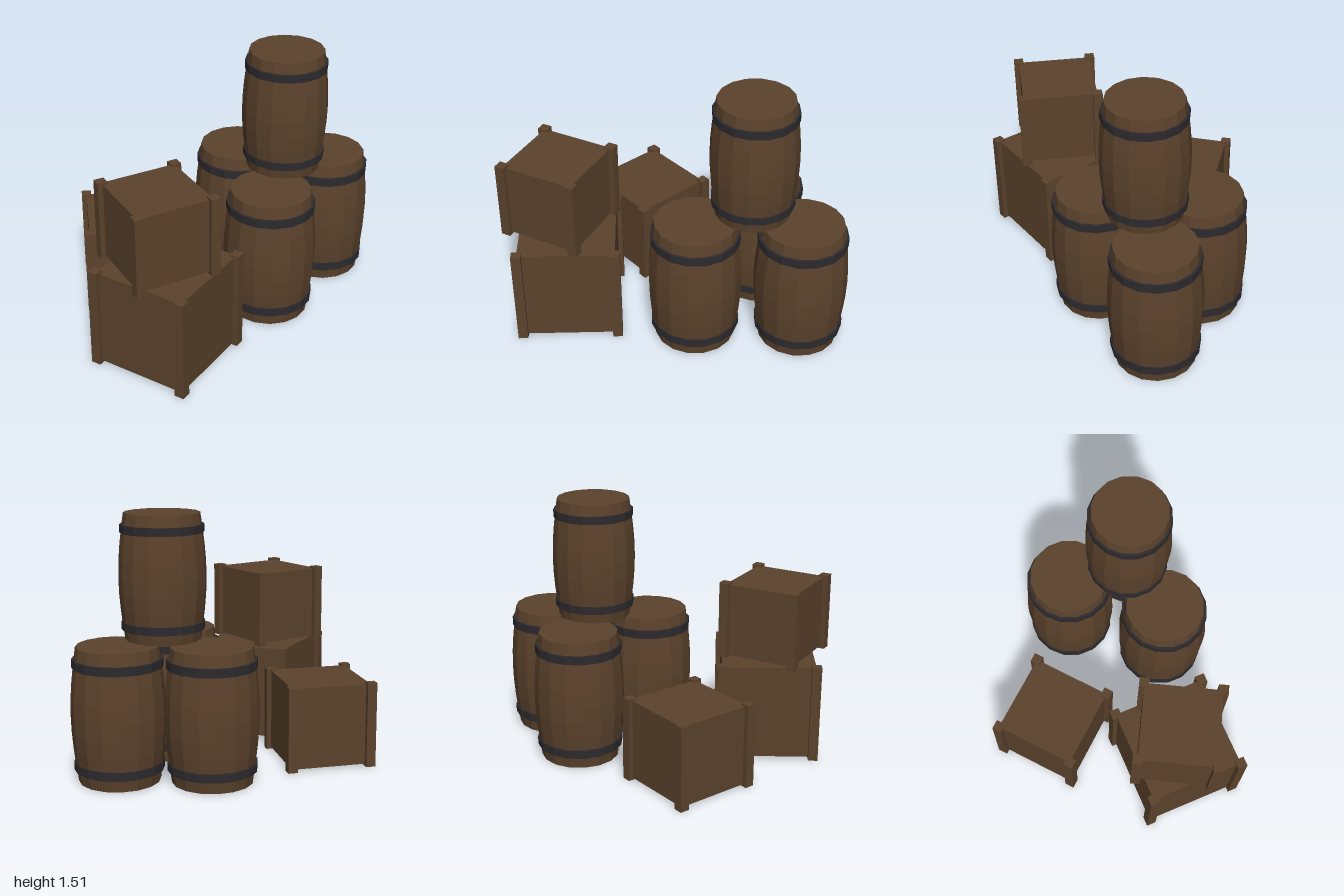
import * as THREE from 'three';

const SIDES = 16;

export function createModel() {
  const wood = new THREE.MeshStandardMaterial({ name: 'brown wood', color: 0x5b422c, flatShading: true });
  const iron = new THREE.MeshStandardMaterial({ name: 'dark iron', color: 0x2c2a2d, flatShading: true });
  const group = new THREE.Group();
  group.name = 'barrelsAndCrates';

  const add = (parent, name, geometry, material, x = 0, y = 0, z = 0) => {
    const mesh = new THREE.Mesh(geometry, material);
    mesh.name = name;
    mesh.position.set(x, y, z);
    parent.add(mesh);
    return mesh;
  };

  // Barrel: bulging staves closed by flat lids
  const height = 0.785;
  const profile = [new THREE.Vector2(0, 0)];
  for (let i = 0; i <= 8; i++) {
    const t = i / 8;
    profile.push(new THREE.Vector2(0.234 + 0.036 * Math.sin(Math.PI * t), height * t));
  }
  profile.push(new THREE.Vector2(0, height));
  const staves = new THREE.LatheGeometry(profile, SIDES);
  const hoop = new THREE.CylinderGeometry(0.258, 0.258, 0.05, SIDES);

  const addBarrel = (name, x, y, z, scale) => {
    const barrel = new THREE.Group();
    barrel.name = name;
    add(barrel, 'staves', staves, wood);
    add(barrel, 'lowerHoop', hoop, iron, 0, 0.095, 0);
    add(barrel, 'upperHoop', hoop, iron, 0, height - 0.095, 0);
    barrel.position.set(x, y, z);
    barrel.scale.setScalar(scale);
    group.add(barrel);
  };

  // Crate: box with four corner posts, slightly taller than the box
  const addCrate = (name, x, y, z, width, tall, turn) => {
    const crate = new THREE.Group();
    crate.name = name;
    const gap = 0.012, post = 0.057;
    add(crate, 'crateBox', new THREE.BoxGeometry(width, tall - 2 * gap, width), wood, 0, tall / 2, 0);
    const postGeometry = new THREE.BoxGeometry(post, tall, post);
    for (const sx of [-1, 1]) {
      for (const sz of [-1, 1]) {
        add(crate, 'cornerPost', postGeometry, wood, sx * width / 2, tall / 2, sz * width / 2);
      }
    }
    crate.position.set(x, y, z);
    crate.rotation.y = turn;
    group.add(crate);
  };

  addBarrel('frontBarrel', 0.13, 0, 0.425, 1);
  addBarrel('sideBarrel', 0.73, 0, 0.34, 1);
  addBarrel('backBarrel', 0.43, 0, -0.1, 1);
  addBarrel('topBarrel', 0.43, 0.78, 0.257, 0.93);

  addCrate('largeCrate', -0.636, 0, 0.345, 0.557, 0.6, 0.203);
  addCrate('stackedCrate', -0.678, 0.6, 0.323, 0.442, 0.465, -0.295);
  addCrate('backCrate', -0.294, 0, -0.342, 0.479, 0.51, -0.675);

  return group;
}
